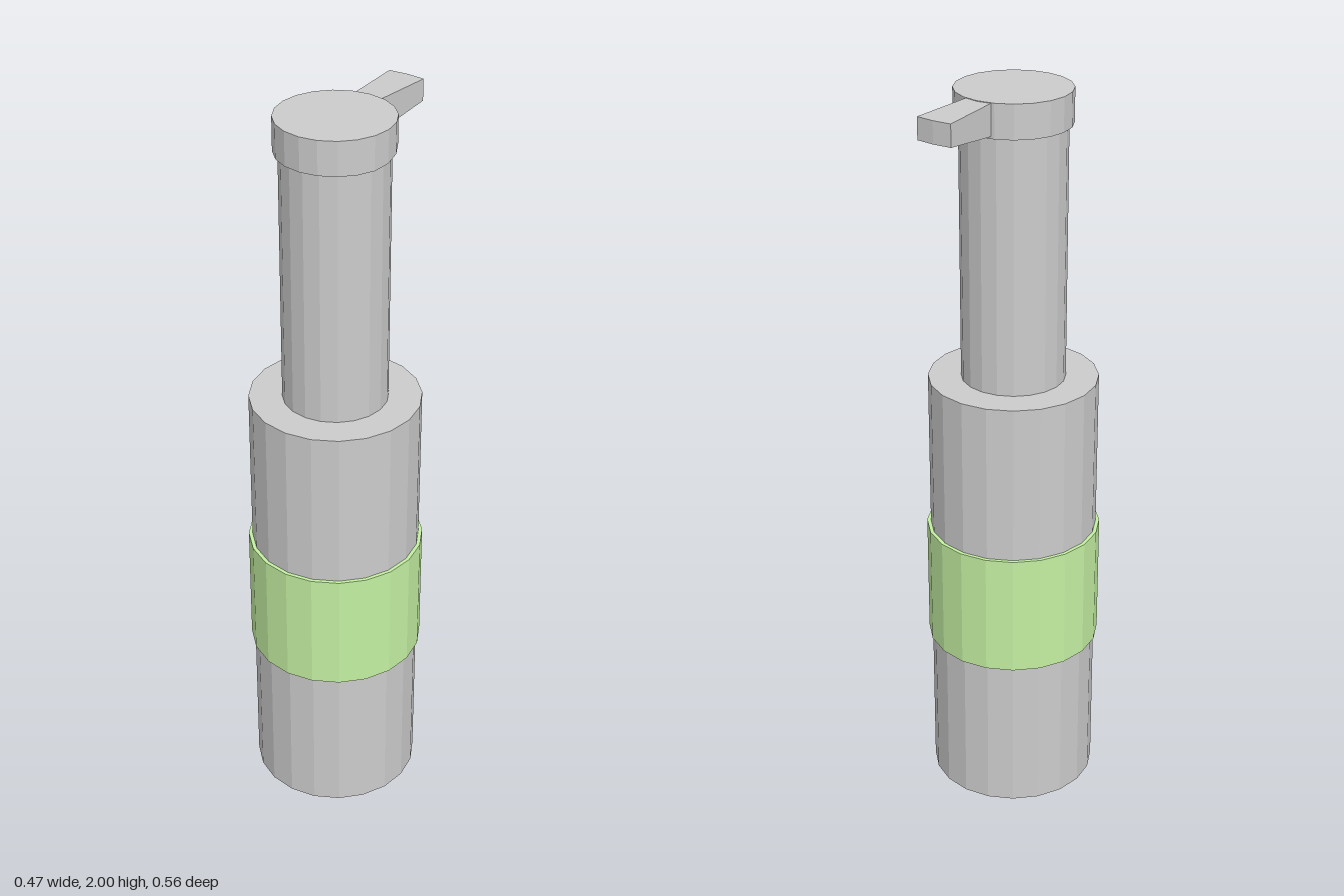
import * as THREE from 'three';

const SIDES = 20;
const CENTER_Z = 0.04;

export function createModel() {
  const model = new THREE.Group();
  model.name = 'pumpBottle';
  const grey = new THREE.MeshStandardMaterial({ color: 0xcccccc, flatShading: true });
  const green = new THREE.MeshStandardMaterial({ color: 0xc4f0a2, flatShading: true });

  const add = (name, geometry, material) => {
    const mesh = new THREE.Mesh(geometry, material);
    mesh.name = name;
    mesh.position.z = CENTER_Z;
    model.add(mesh);
    return mesh;
  };
  const drum = (radius, bottom, top) =>
    new THREE.CylinderGeometry(radius, radius, top - bottom, SIDES).translate(0, (top + bottom) / 2, 0);

  add('body', drum(0.227, 0, 1.22), grey);
  add('labelBand', drum(0.237, 0.44, 0.78), green);
  add('neck', drum(0.139, 1.2, 1.95), grey);

  // Pump head, its lower rim lifted slightly on one side
  const head = drum(0.152, 1.91, 2);
  const hp = head.attributes.position;
  for (let i = 0; i < hp.count; i++) {
    const x = hp.getX(i), z = hp.getZ(i);
    if (hp.getY(i) > 1.95 || Math.hypot(x, z) < 0.01) continue;
    const offset = Math.abs(Math.atan2(z, x) + 0.31);
    hp.setY(i, 1.91 + 0.014 * Math.max(0, 1 - offset / 0.8));
  }
  add('pumpHead', head, grey);

  // Spout: flares outward, tapers in height, with a shallow point at its tip
  const spout = new THREE.BoxGeometry(1, 1, 1, 2, 1, 1);
  const sp = spout.attributes.position;
  for (let i = 0; i < sp.count; i++) {
    const side = sp.getX(i) * 2;
    const upper = sp.getY(i) > 0;
    const tip = sp.getZ(i) < 0;
    const halfWidth = tip ? 0.0505 : 0.0368;
    const reach = tip ? 0.324 - 0.004 * Math.abs(side) : 0.13;
    const y = upper ? (tip ? 1.993 : 1.999) : (tip ? 1.935 : 1.914);
    sp.setXYZ(i, side * halfWidth, y, -reach);
  }
  add('spout', spout, grey).rotation.y = -Math.PI / 10;

  return model;
}
